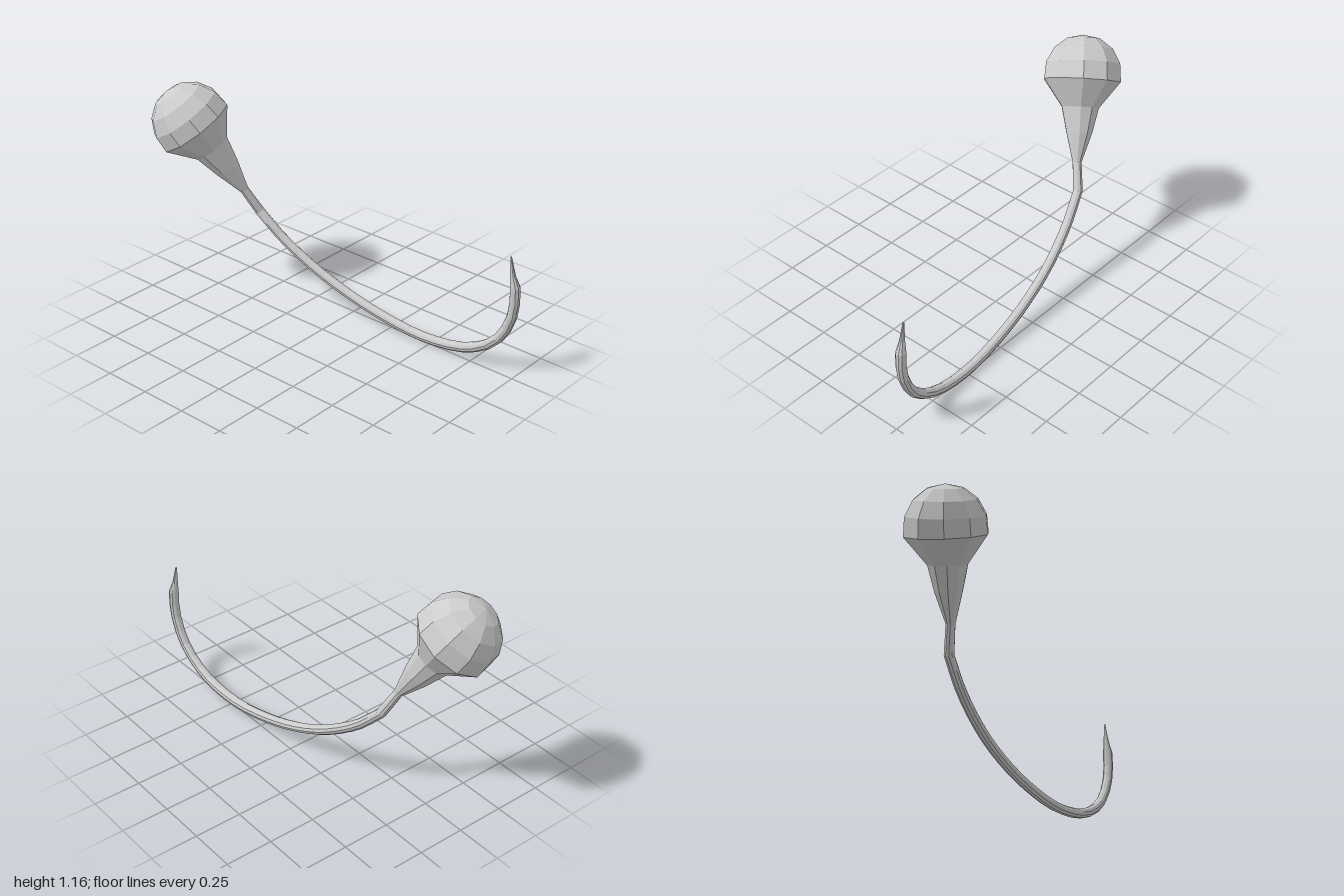
import * as THREE from 'three';

const SIDES = 10;
const material = new THREE.MeshStandardMaterial({ color: 0xcccccc, flatShading: true, side: THREE.DoubleSide });
const V = (x, y, z) => new THREE.Vector3(x, y, z);

// Rings of points around a path, with a frame carried along without twist
function sweepRings(stations, startSide) {
  const side = startSide.clone();
  return stations.map(({ p, r }, i) => {
    const before = stations[Math.max(i - 1, 0)].p;
    const after = stations[Math.min(i + 1, stations.length - 1)].p;
    const tangent = after.clone().sub(before).normalize();
    side.addScaledVector(tangent, -side.dot(tangent)).normalize();
    const up = tangent.clone().cross(side);
    return Array.from({ length: SIDES }, (_, k) => {
      const a = (k / SIDES) * Math.PI * 2;
      return p.clone().addScaledVector(side, r * Math.cos(a)).addScaledVector(up, r * Math.sin(a));
    });
  });
}

// Skin between consecutive rings
function skin(rings, name) {
  const index = [];
  for (let i = 0; i < rings.length - 1; i++) {
    for (let k = 0; k < SIDES; k++) {
      const a = i * SIDES + k, b = i * SIDES + ((k + 1) % SIDES);
      index.push(a, b, a + SIDES, b, b + SIDES, a + SIDES);
    }
  }
  const geometry = new THREE.BufferGeometry().setFromPoints(rings.flat());
  geometry.setIndex(index);
  geometry.computeVertexNormals();
  const mesh = new THREE.Mesh(geometry, material);
  mesh.name = name;
  return mesh;
}

export function createModel() {
  const group = new THREE.Group();
  group.name = 'hookedStalk';

  // Rounded dome, from its pole down to the rim
  const centre = V(-0.8, 0.965, 0.1), axis = V(-0.465, 0.8, 0.36).normalize();
  const stations = [90, 65, 41, 17, -8].map((deg) => {
    const a = THREE.MathUtils.degToRad(deg);
    return { p: centre.clone().addScaledVector(axis, 0.208 * Math.sin(a)), r: 0.208 * Math.cos(a) };
  });
  const rim = stations.length - 1;

  // Flared throat narrowing into the neck
  stations.push(
    { p: V(-0.72, 0.83, 0.045), r: 0.1 },
    { p: V(-0.66, 0.725, 0), r: 0.07 },
    { p: V(-0.586, 0.6, -0.05), r: 0.024 }
  );
  const neck = stations.length - 1;

  // Long curved stem
  const curve = new THREE.CatmullRomCurve3([
    V(-0.53, 0.475, -0.105), V(-0.4, 0.345, -0.14), V(-0.2, 0.212, -0.18), V(0, 0.125, -0.208),
    V(0.22, 0.063, -0.23), V(0.48, 0.03, -0.25), V(0.72, 0.065, -0.263), V(0.87, 0.155, -0.27),
    V(0.945, 0.27, -0.274), V(0.972, 0.38, -0.275), V(0.971, 0.485, -0.275)
  ]);
  curve.getSpacedPoints(24).forEach((p) => stations.push({ p, r: 0.026 }));
  const stemEnd = stations.length - 1;

  // Thin pointed tip
  stations.push({ p: V(0.956, 0.545, -0.272), r: 0.014 }, { p: V(0.94, 0.643, -0.27), r: 0.004 }, { p: V(0.939, 0.645, -0.27), r: 0 });

  // Start direction places the facet corners around the dome
  const across = V(0, -0.41, 0.91), outward = V(0.885, 0.42, 0.19);
  const turn = THREE.MathUtils.degToRad(27);
  const startSide = across.multiplyScalar(Math.cos(turn)).addScaledVector(outward, Math.sin(turn));
  const rings = sweepRings(stations, startSide);

  group.add(
    skin(rings.slice(0, rim + 1), 'dome'),
    skin(rings.slice(rim, neck + 1), 'throat'),
    skin(rings.slice(neck, stemEnd + 1), 'stem'),
    skin(rings.slice(stemEnd), 'tip')
  );
  return group;
}
